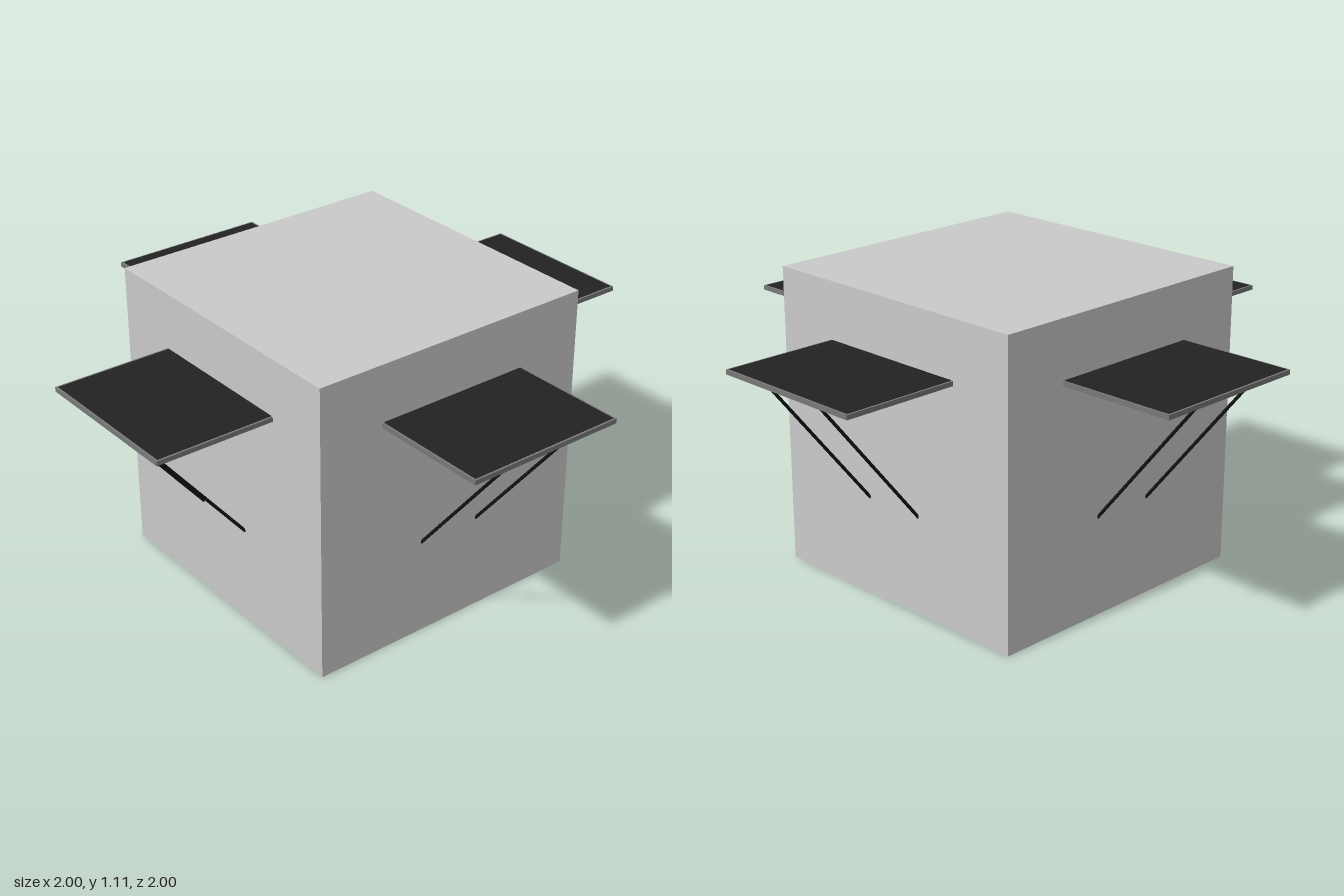
import * as THREE from 'three';

const bodyGrey = new THREE.MeshStandardMaterial({ name: 'lightGrey', color: 0xcacaca });
const rimGrey = new THREE.MeshStandardMaterial({ name: 'rimGrey', color: 0x787878 });
const panelBlack = new THREE.MeshStandardMaterial({ name: 'panelBlack', color: 0x222222 });
const strutBlack = new THREE.MeshStandardMaterial({ name: 'strutBlack', color: 0x141414 });

const SIZE = 1.11, HALF = SIZE / 2;
const REACH = 1 - HALF, WIDTH = 0.61, PANEL_Y = 0.889, RIM = 0.008;

function addBox(parent, name, material, size, position) {
  const mesh = new THREE.Mesh(new THREE.BoxGeometry(...size), material);
  mesh.name = name;
  mesh.position.set(...position);
  parent.add(mesh);
  return mesh;
}

// Thin rod between two points
function addRod(parent, name, from, to) {
  const dir = to.clone().sub(from);
  const mesh = new THREE.Mesh(new THREE.CylinderGeometry(0.0058, 0.0058, dir.length(), 12), strutBlack);
  mesh.name = name;
  mesh.position.copy(from).add(to).multiplyScalar(0.5);
  mesh.quaternion.setFromUnitVectors(new THREE.Vector3(0, 1, 0), dir.normalize());
  parent.add(mesh);
}

// Side panel facing +z, with its rim and two slanted struts
function makeWing(name) {
  const wing = new THREE.Group();
  wing.name = name;
  const midZ = HALF + REACH / 2;
  addBox(wing, 'panelRim', rimGrey, [WIDTH, 0.017, REACH], [0, PANEL_Y, midZ]);
  // Dark sheet, barely proud of the rim above and below
  addBox(wing, 'panelSheet', panelBlack, [WIDTH - 2 * RIM, 0.02, REACH - RIM], [0, PANEL_Y, midZ - RIM / 2]);
  for (const x of [-0.123, 0.123]) {
    addRod(wing, 'strut', new THREE.Vector3(x, 0.366, HALF - 0.003), new THREE.Vector3(x, 0.882, 0.972));
  }
  return wing;
}

export function createModel() {
  const model = new THREE.Group();
  model.name = 'cubeWithPanels';
  addBox(model, 'body', bodyGrey, [SIZE, SIZE, SIZE], [0, HALF, 0]);

  // One wing on each side of the cube
  ['frontWing', 'leftWing', 'backWing', 'rightWing'].forEach((name, i) => {
    const wing = makeWing(name);
    wing.rotation.y = i * Math.PI / 2;
    model.add(wing);
  });
  return model;
}
